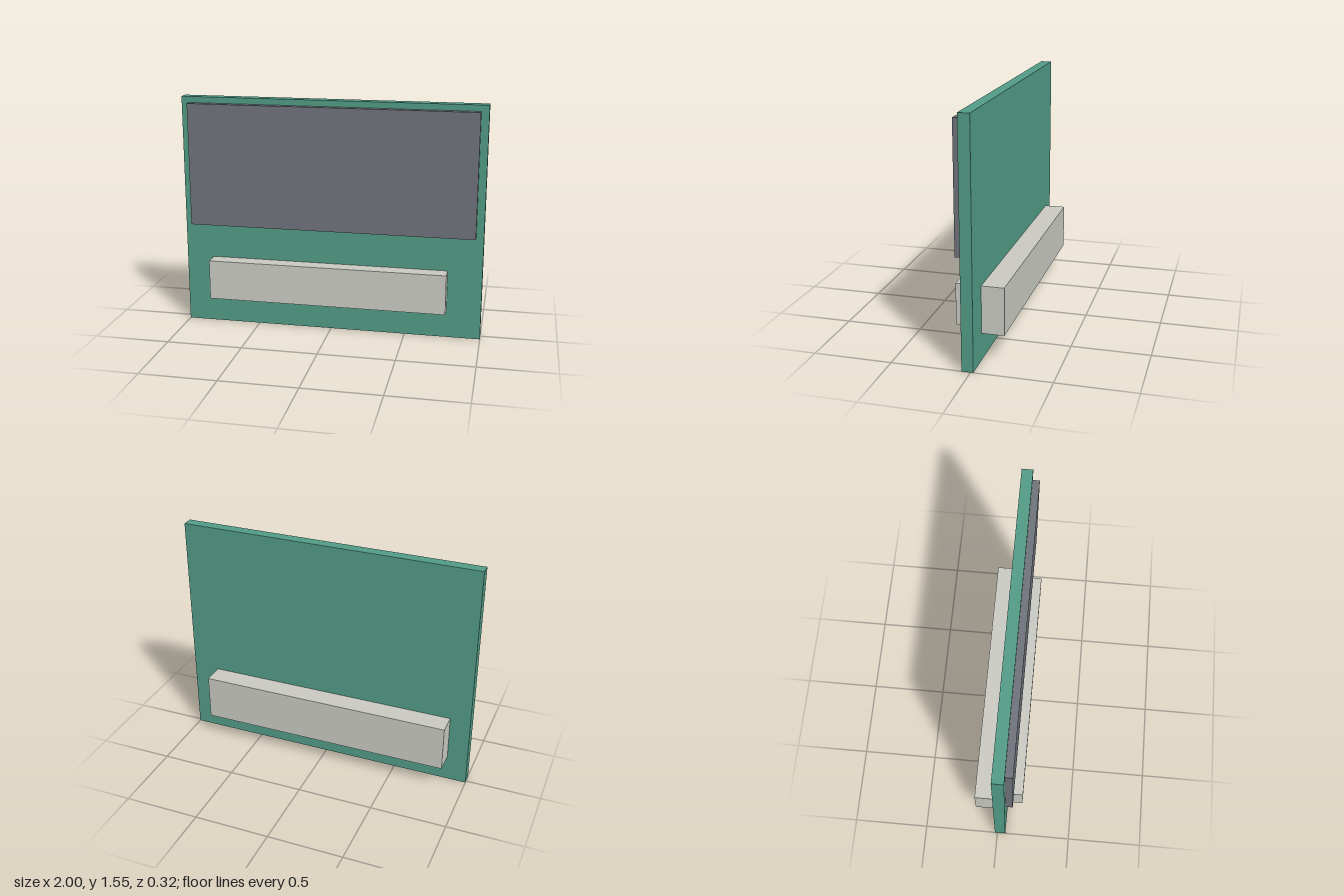
import * as THREE from 'three';

export function createModel() {
  const group = new THREE.Group();
  const mat = (name, color) => {
    const m = new THREE.MeshStandardMaterial({ color });
    m.name = name;
    return m;
  };
  const green = mat('boardGreen', 0x519a85);
  const grey = mat('screenGrey', 0x6d7179);
  const pale = mat('connectorPale', 0xc8c8c1);

  // Box given by its extents on each axis
  const block = (name, material, [x0, x1], [y0, y1], [z0, z1]) => {
    const mesh = new THREE.Mesh(new THREE.BoxGeometry(x1 - x0, y1 - y0, z1 - z0), material);
    mesh.position.set((x0 + x1) / 2, (y0 + y1) / 2, (z0 + z1) / 2);
    mesh.name = name;
    group.add(mesh);
  };

  const back = -0.017, front = 0.056;
  block('board', green, [-1, 1], [0, 1.55], [back, front]);
  // Raised panel on the upper front
  block('screenPanel', grey, [-0.95, 0.95], [0.693, 1.51], [front, 0.102]);
  // Connector bars on both sides of the board
  block('frontBar', pale, [-0.815, 0.775], [0.193, 0.46], [front, 0.159]);
  block('backBar', pale, [-0.865, 0.825], [0.175, 0.48], [-0.159, back]);

  return group;
}
